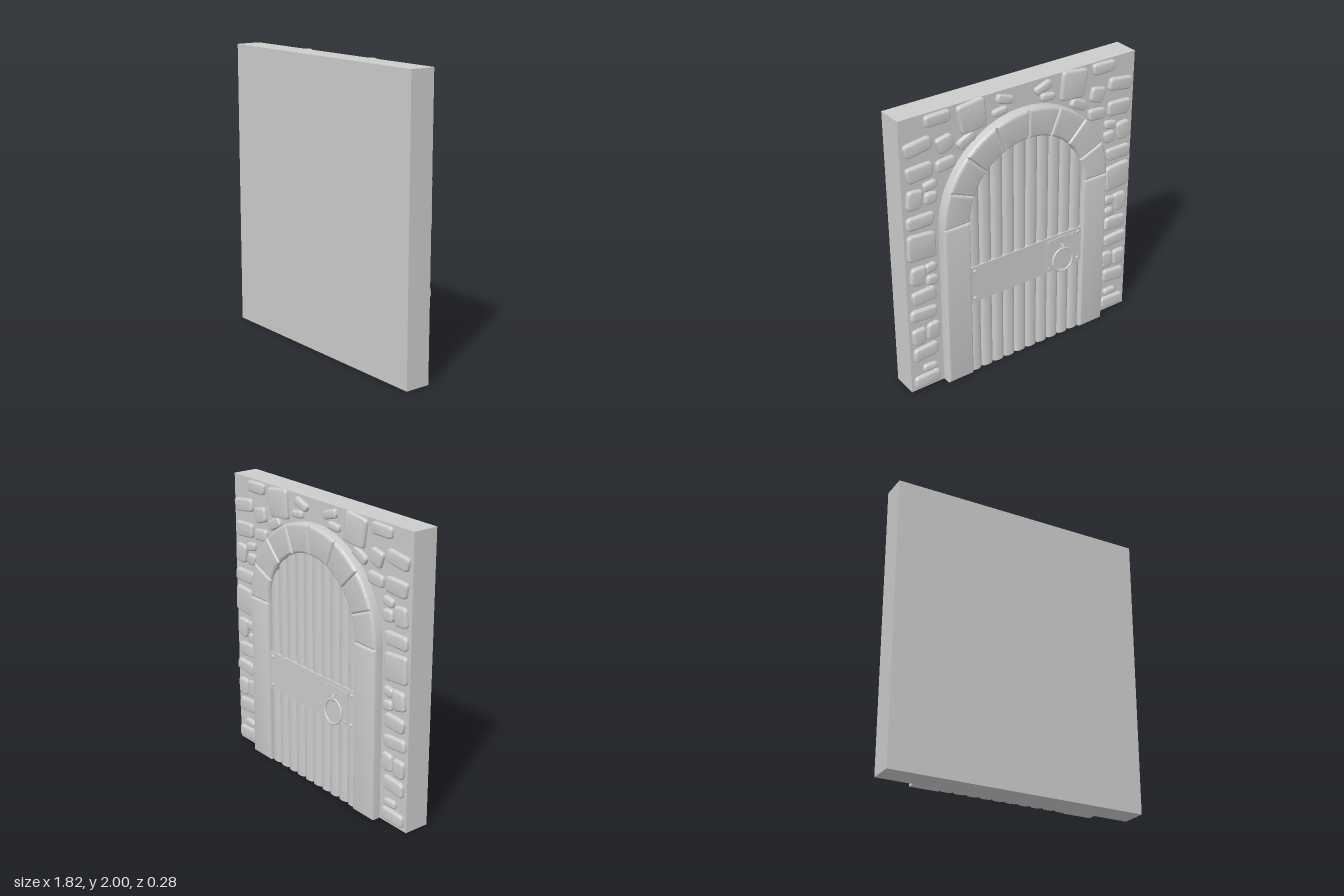
import * as THREE from 'three';
import { toCreasedNormals } from 'three/addons/utils/BufferGeometryUtils.js';

const SPRING = 1.19, R_IN = 0.455, R_OUT = 0.655; // arch spring line and radii

let seed = 7;
const jitter = () => {
  seed = (seed * 16807) % 2147483647;
  return seed / 2147483647 - 0.5;
};

export function createModel() {
  const grey = new THREE.MeshStandardMaterial({ color: 0xcccccc });
  const model = new THREE.Group();
  model.name = 'arched door in wall';

  // The decorated side is built facing local +z, then turned to the back.
  const doorSide = new THREE.Group();
  doorSide.name = 'doorSide';
  doorSide.rotation.y = Math.PI;
  model.add(doorSide);

  const add = (name, geo, x = 0, y = 0, z = 0, parent = doorSide) => {
    const mesh = new THREE.Mesh(geo, grey);
    mesh.name = name;
    mesh.position.set(x, y, z);
    parent.add(mesh);
    return mesh;
  };

  // Shape raised from z0 to z1 with a rounded rim.
  const slab = (shape, z0, z1, bevel) => {
    const geo = new THREE.ExtrudeGeometry(shape, {
      depth: z1 - z0 - 2 * bevel, bevelEnabled: true, bevelSize: bevel, bevelThickness: bevel,
      bevelOffset: -bevel, bevelSegments: 3, curveSegments: 8,
    });
    geo.translate(0, 0, z0 + bevel);
    return toCreasedNormals(geo, 0.7);
  };

  const roundedPolygon = (pts, radius) => {
    const shape = new THREE.Shape();
    pts.forEach((p, i) => {
      const prev = pts[(i + pts.length - 1) % pts.length], next = pts[(i + 1) % pts.length];
      const toward = (q) => p.clone().lerp(q, Math.min(0.36, radius / p.distanceTo(q)));
      const a = toward(prev), b = toward(next);
      if (i === 0) shape.moveTo(a.x, a.y); else shape.lineTo(a.x, a.y);
      shape.quadraticCurveTo(p.x, p.y, b.x, b.y);
    });
    shape.closePath();
    return shape;
  };

  // Wall slab
  add('wall', new THREE.BoxGeometry(1.82, 2, 0.18), 0, 1, 0.05, model);

  // Wall stones, mirrored on both sides: x, y, width, height, tilt
  const stones = [
    [0.79, 1.80, 0.19, 0.09, -0.12], [0.64, 1.95, 0.18, 0.08, 0], [0.39, 1.897, 0.19, 0.19, -0.15],
    [0.145, 1.938, 0.13, 0.06, 0.3], [0.185, 1.868, 0.12, 0.05, -0.1], [0.595, 1.77, 0.12, 0.11, -0.25],
    [0.78, 1.63, 0.19, 0.10, -0.1], [0.44, 1.745, 0.14, 0.07, -0.5], [0.59, 1.63, 0.14, 0.08, -0.1],
    [0.825, 1.453, 0.11, 0.13, 0.1], [0.715, 1.518, 0.10, 0.065, -0.2], [0.71, 1.43, 0.09, 0.075, 0.1],
    [0.79, 1.287, 0.19, 0.10, 0], [0.79, 1.112, 0.20, 0.18, 0.05], [0.83, 0.895, 0.11, 0.13, 0.1],
    [0.73, 0.927, 0.09, 0.065, -0.15], [0.725, 0.834, 0.09, 0.065, 0.1], [0.79, 0.735, 0.19, 0.10, -0.12],
    [0.795, 0.594, 0.19, 0.09, 0.08], [0.838, 0.432, 0.10, 0.12, 0], [0.73, 0.443, 0.10, 0.12, 0.05],
    [0.79, 0.296, 0.18, 0.10, -0.05], [0.765, 0.16, 0.11, 0.055, 0.1], [0.79, 0.072, 0.19, 0.09, 0],
  ];
  const stoneGroup = new THREE.Group();
  stoneGroup.name = 'wallStones';
  doorSide.add(stoneGroup);
  for (const [x, y, w, h, tilt] of stones) {
    const corners = [[-1, -1], [1, -1], [1, 1], [-1, 1]].map(([sx, sy]) =>
      new THREE.Vector2(w * (sx / 2 + jitter() * 0.1), h * (sy / 2 + jitter() * 0.14))
        .rotateAround(new THREE.Vector2(), tilt));
    for (const side of [-1, 1]) {
      const pts = corners.map((c) => new THREE.Vector2(c.x * side, c.y));
      if (side < 0) pts.reverse();
      add('wallStone', slab(roundedPolygon(pts, 0.03), 0.02, 0.067, 0.014), side * x, y, 0, stoneGroup);
    }
  }

  // Pillars
  for (const side of [-1, 1]) {
    const shape = new THREE.Shape();
    const a = side * R_IN, b = side * R_OUT;
    shape.moveTo(a, 0).lineTo(b, 0).lineTo(b, SPRING).lineTo(a, SPRING).closePath();
    add('pillar', slab(shape, -0.02, 0.11, 0.018));
  }

  // Arch of eight wedge stones
  const step = Math.PI / 8;
  for (let i = 0; i < 8; i++) {
    const shape = new THREE.Shape();
    shape.absarc(0, 0, R_OUT, i * step, (i + 1) * step, false);
    shape.absarc(0, 0, R_IN, (i + 1) * step, i * step, true);
    shape.closePath();
    add('archStone', slab(shape, -0.02, 0.11, 0.02), 0, SPRING, 0);
  }

  // Door planks with rounded faces, cut to follow the arch
  const count = 10, w = 0.92 / count;
  for (let i = 0; i < count; i++) {
    const x = (i - (count - 1) / 2) * w;
    const edge = Math.abs(x) + w / 2;
    const shape = new THREE.Shape();
    shape.moveTo(-w / 2, 0).lineTo(-w / 2, -0.062);
    shape.quadraticCurveTo(-w / 2 + 0.006, -0.088, 0, -0.088);
    shape.quadraticCurveTo(w / 2 - 0.006, -0.088, w / 2, -0.062);
    shape.lineTo(w / 2, 0);
    const geo = new THREE.ExtrudeGeometry(shape, {
      depth: SPRING + Math.sqrt(0.55 ** 2 - edge ** 2), bevelEnabled: false, curveSegments: 6,
    });
    geo.rotateX(-Math.PI / 2);
    add('plank', toCreasedNormals(geo, 0.7), x, 0, 0);
  }

  // Iron band, lock plate and rivets
  add('ironBand', new THREE.BoxGeometry(0.92, 0.275, 0.04), 0, 0.70, 0.074);
  add('lockPlate', new THREE.BoxGeometry(0.23, 0.235, 0.02), 0.275, 0.70, 0.09);
  const rivets = (cx, dx, dy, r, z) => {
    for (const sx of [-1, 1]) for (const sy of [-1, 1]) {
      add('rivet', new THREE.SphereGeometry(r, 12, 8), cx + sx * dx, 0.70 + sy * dy, z).scale.z = 0.6;
    }
  };
  rivets(0, 0.425, 0.105, 0.014, 0.094);
  rivets(0.275, 0.1, 0.1, 0.008, 0.1);

  // Ring handle hanging from a staple
  add('handleStaple', new THREE.TorusGeometry(0.022, 0.006, 8, 20), 0.275, 0.745, 0.112).rotation.y = Math.PI / 2;
  add('handleRing', new THREE.TorusGeometry(0.083, 0.008, 10, 40), 0.275, 0.652, 0.126).rotation.x = -0.11;

  return model;
}
